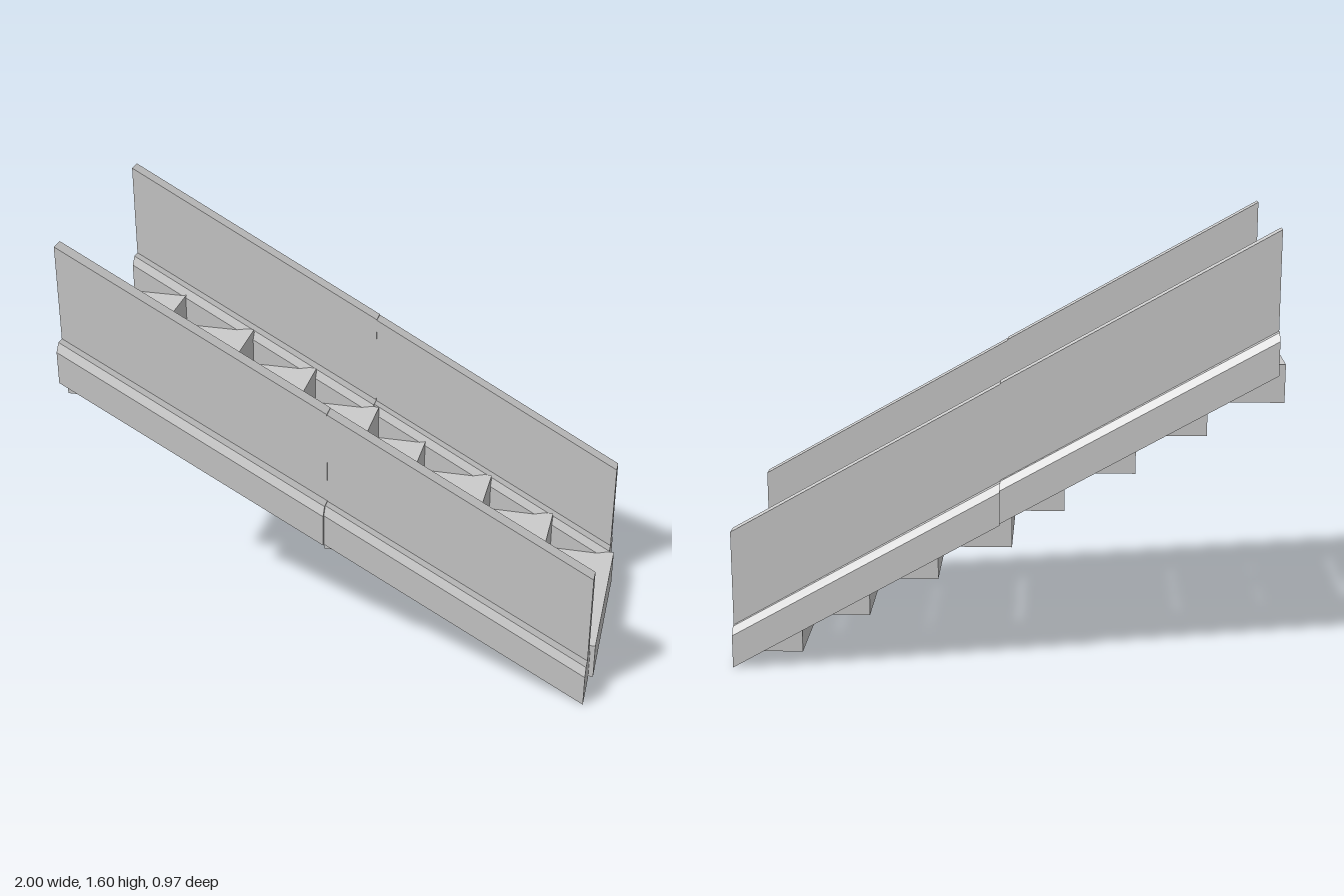
import * as THREE from 'three';

const material = new THREE.MeshStandardMaterial({ color: 0xcccccc, flatShading: true });

// Extrudes a (z, y) section along x from x0 to x1, then shears it so that it
// falls from y0 to y1 and drifts sideways from z0 to z1.
function slopedBar(name, section, [x0, x1], [y0, y1], [z0, z1]) {
  const shape = new THREE.Shape(section.map(([z, y]) => new THREE.Vector2(z, y)));
  const geometry = new THREE.ExtrudeGeometry(shape, { depth: 1, bevelEnabled: false });
  geometry.rotateY(Math.PI / 2);
  const p = geometry.attributes.position;
  for (let i = 0; i < p.count; i++) {
    const t = p.getX(i);
    p.setXYZ(i,
      THREE.MathUtils.lerp(x0, x1, t),
      p.getY(i) + THREE.MathUtils.lerp(y0, y1, t),
      p.getZ(i) + THREE.MathUtils.lerp(z0, z1, t));
  }
  geometry.computeVertexNormals();
  const mesh = new THREE.Mesh(geometry, material);
  mesh.name = name;
  return mesh;
}

// Kerb with chamfered top edges, and the thin upright panel standing in it
const kerb = [[-0.081, 0], [0.081, 0], [0.081, 0.122], [0.057, 0.15], [-0.057, 0.15], [-0.081, 0.122]];
const panel = [[-0.027, 0.13], [0.027, 0.13], [0.027, 0.5], [-0.027, 0.5]];

export function createModel() {
  const model = new THREE.Group();
  model.name = 'staircase';

  // Two flights, the lower one set slightly towards the back
  const flights = [
    {
      name: 'upper', x: [-0.96, 0.01], y: [1.098, 0.553], stepZ: [-0.33, 0.324],
      kerbZ: { left: 0.406, right: -0.393 },
      panelZ: { left: [0.404, 0.394], right: [-0.398, -0.408] },
      steps: [[-1, 0.97], [-0.728, 0.845], [-0.475, 0.703], [-0.22, 0.56]],
    },
    {
      name: 'lower', x: [0.01, 0.982], y: [0.55, 0], stepZ: [-0.345, 0.311],
      kerbZ: { left: 0.394, right: -0.405 },
      panelZ: { left: [0.392, 0.383], right: [-0.409, -0.418] },
      steps: [[-0.03, 0.425], [0.24, 0.3], [0.494, 0.157], [0.747, 0.01]],
    },
  ];

  for (const f of flights) {
    const flight = new THREE.Group();
    flight.name = `${f.name}Flight`;

    for (const side of ['left', 'right']) {
      flight.add(slopedBar(`${side}Kerb`, kerb, f.x, f.y, [f.kerbZ[side], f.kerbZ[side]]));
      const top = f.y.map((y) => y + 0.003);
      flight.add(slopedBar(`${side}Panel`, panel, f.x, top, f.panelZ[side]));
    }

    // Separate block steps, each given by its high end and underside
    const [zBack, zFront] = f.stepZ;
    f.steps.forEach(([x, y], i) => {
      const step = new THREE.Mesh(new THREE.BoxGeometry(0.253, 0.139, zFront - zBack), material);
      step.position.set(x + 0.1265, y + 0.0695, (zBack + zFront) / 2);
      step.name = `step${i + 1}`;
      flight.add(step);
    });
    model.add(flight);
  }
  return model;
}
